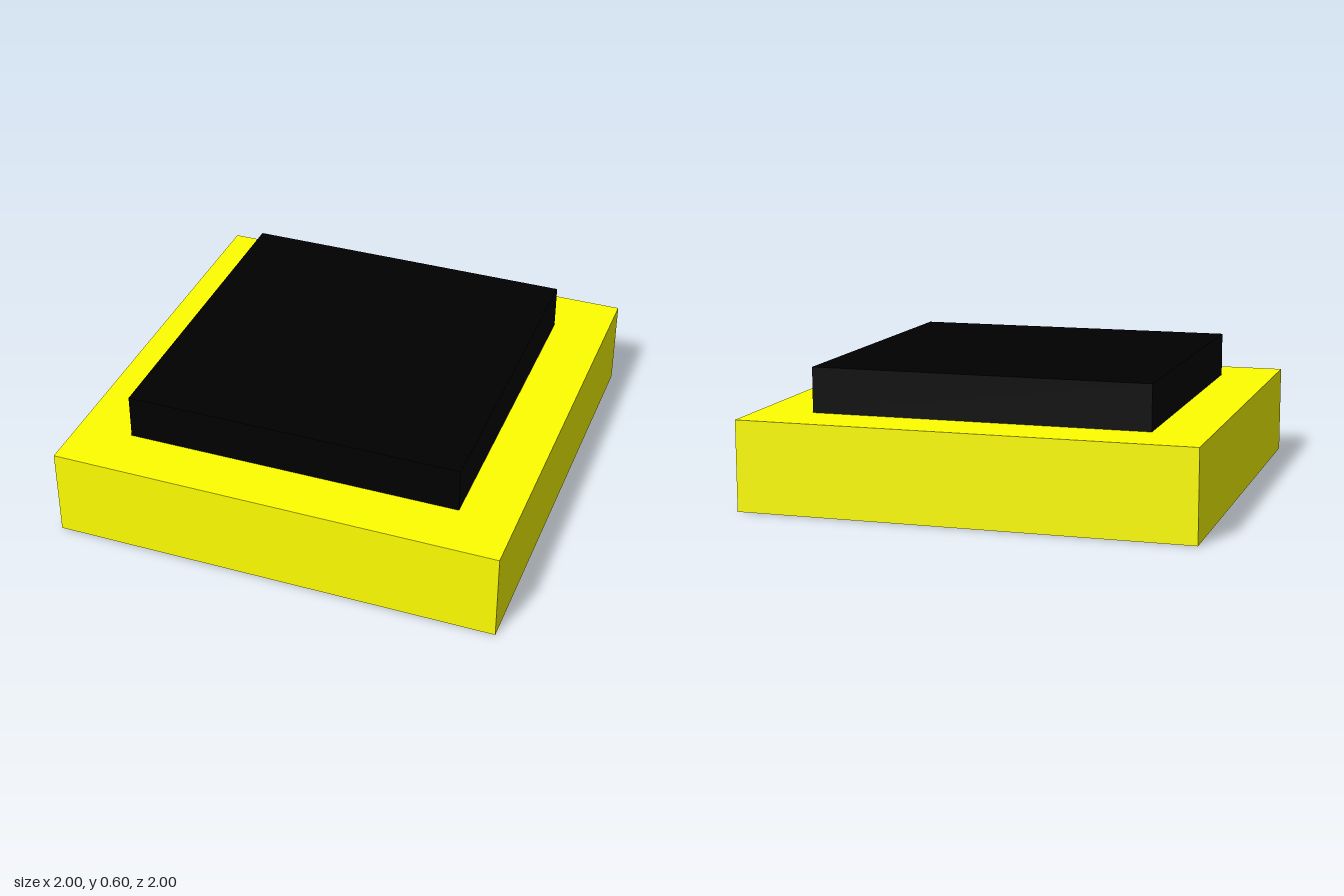
import * as THREE from 'three';

// Box standing on the given height, centred on the vertical axis
function slab(name, width, height, bottom, color) {
  const mesh = new THREE.Mesh(
    new THREE.BoxGeometry(width, height, width),
    new THREE.MeshStandardMaterial({ color })
  );
  mesh.name = name;
  mesh.position.y = bottom + height / 2;
  return mesh;
}

export function createModel() {
  const model = new THREE.Group();
  model.name = 'steppedBlock';

  // Wide yellow base with a smaller black slab on top
  model.add(slab('base', 2, 0.4, 0, 0xffff00));
  model.add(slab('topSlab', 1.5, 0.2, 0.4, 0x000000));

  return model;
}
